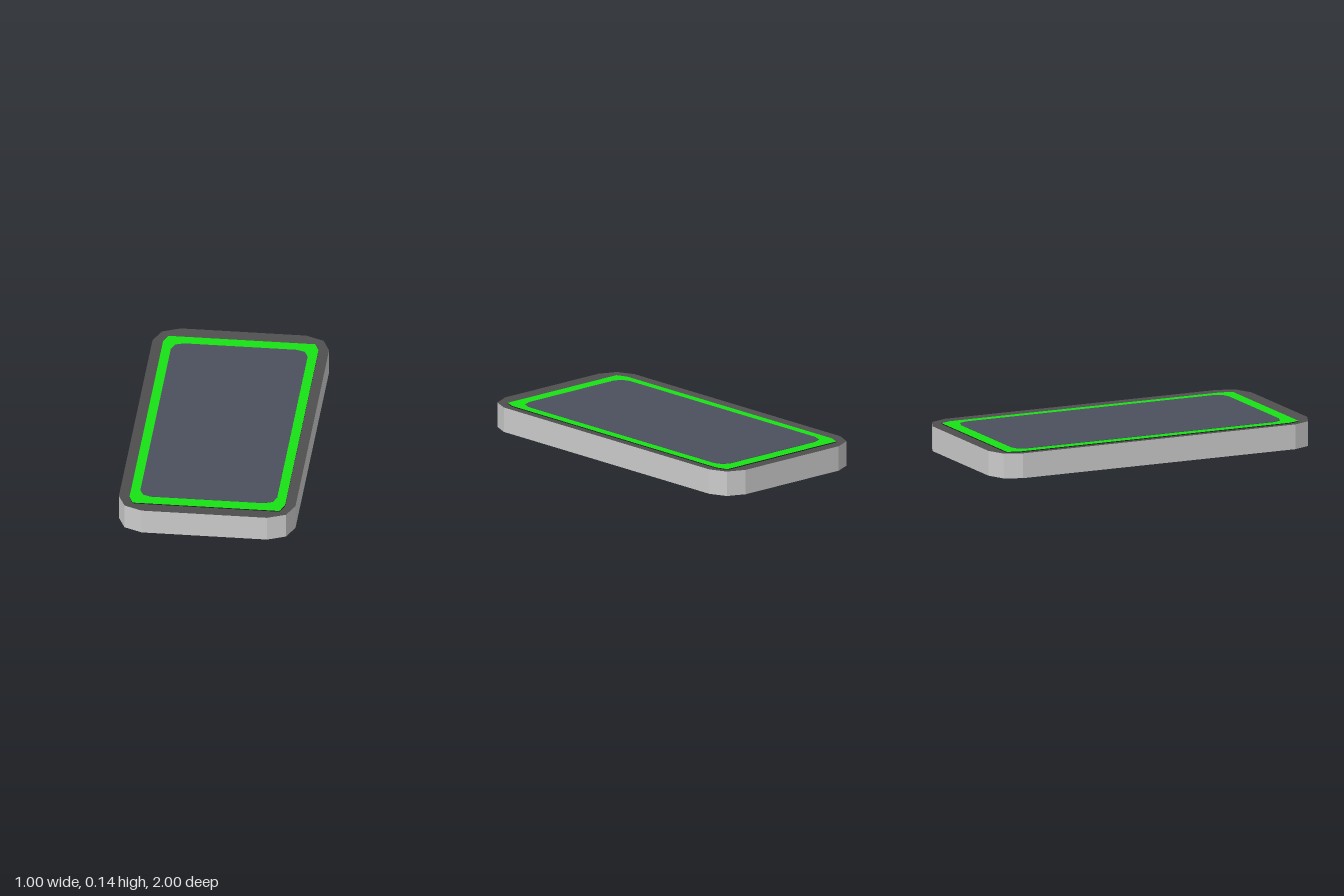
import * as THREE from 'three';

// Twelve-sided outline: a rectangle whose corners are cut by two facets each.
// c holds the three points of one corner, mirrored round the four quadrants.
function outline(c) {
  const back = [...c].reverse();
  return [
    ...c,
    ...back.map(([x, z]) => [-x, z]),
    ...c.map(([x, z]) => [-x, -z]),
    ...back.map(([x, z]) => [x, -z]),
  ];
}

// Faceted band between two outlines at two heights.
function band(lower, y0, upper, y1) {
  const pos = [];
  const n = lower.length;
  for (let i = 0; i < n; i++) {
    const j = (i + 1) % n;
    const a = [lower[i][0], y0, lower[i][1]], b = [lower[j][0], y0, lower[j][1]];
    const c = [upper[j][0], y1, upper[j][1]], d = [upper[i][0], y1, upper[i][1]];
    pos.push(...a, ...c, ...b, ...a, ...d, ...c);
  }
  const g = new THREE.BufferGeometry();
  g.setAttribute('position', new THREE.Float32BufferAttribute(pos, 3));
  g.computeVertexNormals();
  return g;
}

// Flat panel at height y, facing up or down.
function panel(points, y, up = true) {
  const s = up ? -1 : 1;
  const shape = new THREE.Shape(points.map(([x, z]) => new THREE.Vector2(x, s * z)));
  return new THREE.ShapeGeometry(shape).rotateX(s * Math.PI / 2).translate(0, y, 0);
}

export function createModel() {
  const model = new THREE.Group();
  const add = (name, geometry, color, parent = model) => {
    const material = new THREE.MeshStandardMaterial({ color, flatShading: true });
    const mesh = new THREE.Mesh(geometry, material);
    mesh.name = name;
    parent.add(mesh);
    return mesh;
  };

  const outer = outline([[0.5, 0.855], [0.457, 0.955], [0.355, 1]]);
  const inner = outline([[0.43, 0.84], [0.412, 0.895], [0.4, 0.905]]);
  const border = outline([[0.44, 0.85], [0.42, 0.905], [0.415, 0.915]]);
  const display = outline([[0.387, 0.773], [0.367, 0.822], [0.32, 0.84]]);

  // Case: side walls and closed underside
  const caseGroup = new THREE.Group();
  caseGroup.name = 'case';
  model.add(caseGroup);
  add('sideWalls', band(outer, 0.002, outer, 0.145), 0xcccccc, caseGroup);
  add('underside', panel(outer, 0.002, false), 0xcccccc, caseGroup);

  // Dark rim, dipping slightly towards the panel
  add('rim', band(outer, 0.145, inner, 0.137), 0x4f4f4f);

  // Coloured border and the display on it, each with a thin edge
  add('border', panel(border, 0.143), 0x17e314);
  add('borderEdge', band(border, 0.136, border, 0.143), 0x202020);
  add('display', panel(display, 0.145), 0x4c505d);
  add('displayEdge', band(display, 0.142, display, 0.145), 0x4c505d);

  // Octagonal badge and camera lens on the underside
  const disc = (name, r, x, z, color) => {
    const m = add(name, new THREE.CylinderGeometry(r, r, 0.004, 8), color);
    m.position.set(x, 0.002, z);
  };
  disc('backDisc', 0.18, 0, 0, 0x585858);
  disc('cameraLens', 0.09, 0.32, -0.81, 0x58585e);

  return model;
}
